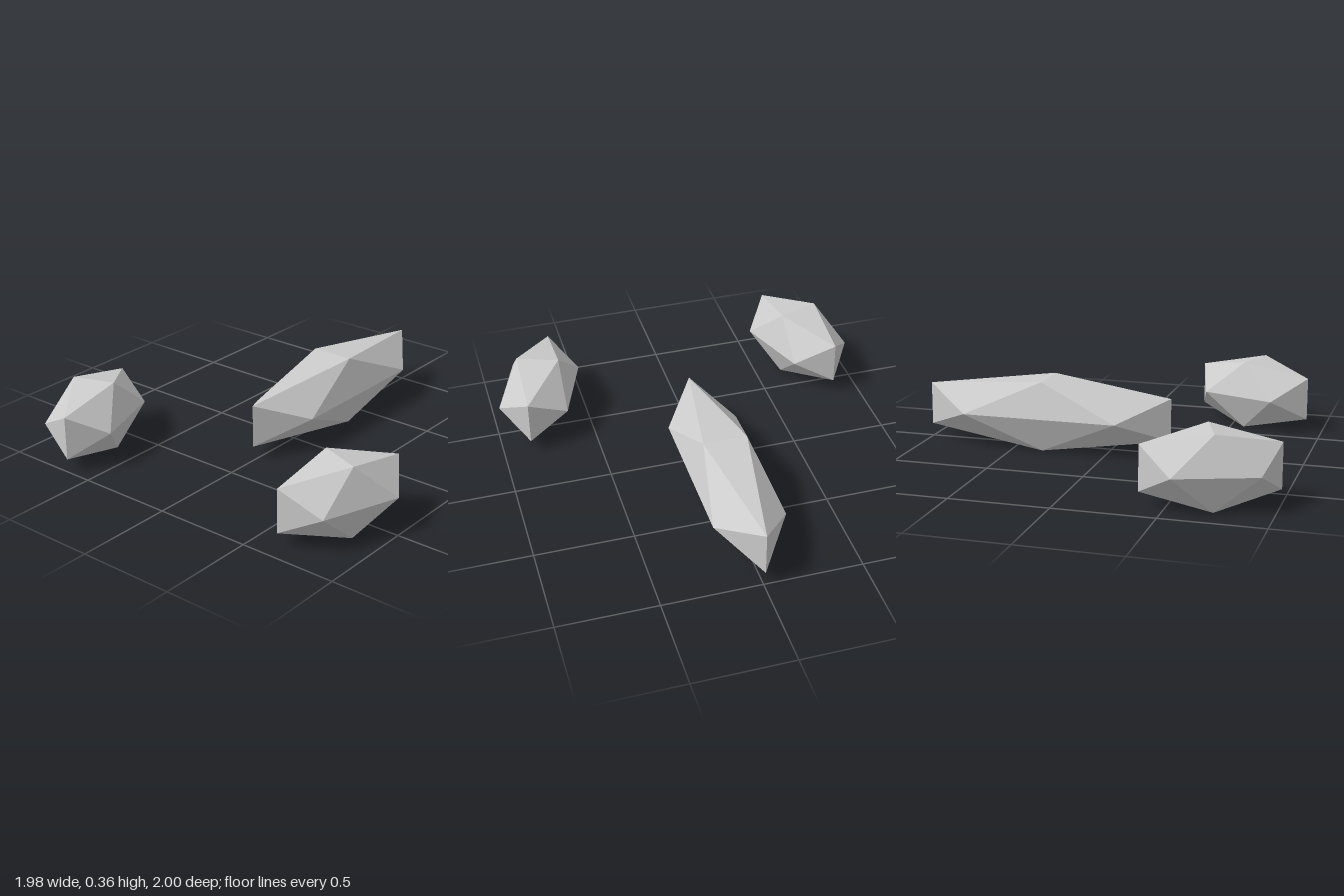
import * as THREE from 'three';

export function createModel() {
  const group = new THREE.Group();
  const material = new THREE.MeshStandardMaterial({ color: 0xcccccc, flatShading: true });
  const radius = 0.214;

  // Faceted stone: an icosahedron stretched along z, then turned about y
  function addStone(name, x, z, stretch, turn) {
    const geometry = new THREE.IcosahedronGeometry(radius, 0).scale(1, 1, stretch);
    const stone = new THREE.Mesh(geometry, material);
    stone.name = name;
    stone.position.set(x, radius * 0.8507, z);
    stone.rotation.y = turn;
    group.add(stone);
  }

  // Long stone at the back, two shorter ones splayed at the front
  addStone('longStone', -0.01, -0.34, 3.62, 0);
  addStone('rightStone', -0.75, 0.688, 1.81, 0.34);
  addStone('leftStone', 0.745, 0.61, 1.81, -0.35);

  return group;
}
